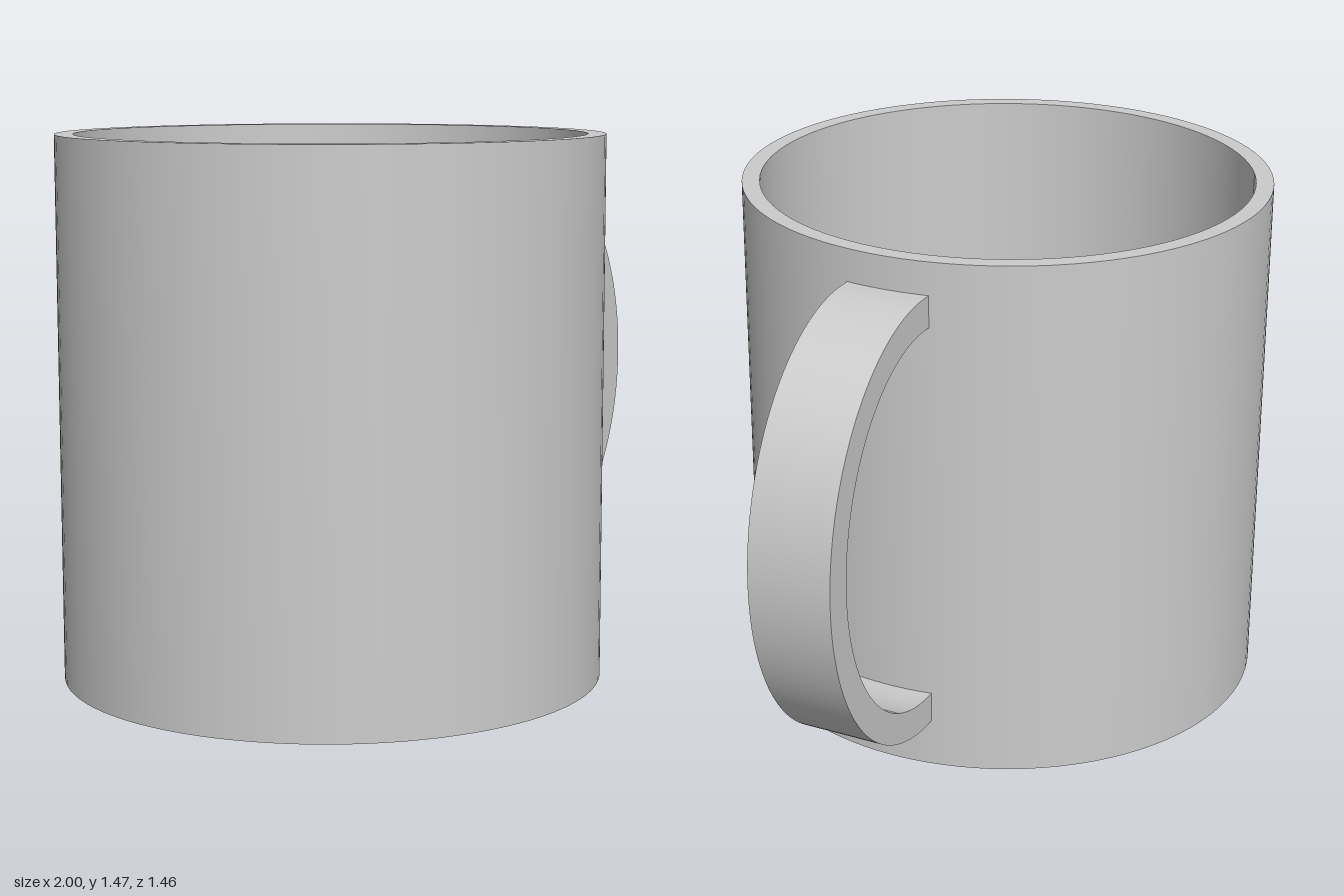
import * as THREE from 'three';
import { toCreasedNormals } from 'three/addons/utils/BufferGeometryUtils.js';

const material = new THREE.MeshStandardMaterial({ color: 0xcccccc });

function addPart(group, name, geometry) {
  const mesh = new THREE.Mesh(toCreasedNormals(geometry, 0.6), material);
  mesh.name = name;
  group.add(mesh);
  return mesh;
}

export function createModel() {
  const group = new THREE.Group();
  group.name = 'mug';

  // Cup: hollow cylinder with a closed floor, turned from one profile
  const radius = 0.732, inner = 0.683, height = 1.465, floor = 0.05;
  const profile = [
    [0, 0], [radius, 0], [radius, height], [inner, height], [inner, floor], [0, floor],
  ].map(([x, y]) => new THREE.Vector2(x, y));
  const cup = addPart(group, 'cup', new THREE.LatheGeometry(profile, 96));
  cup.position.x = radius - 1;

  // Handle: half-elliptical strap whose ends sink into the cup wall
  const cx = 0.48, cy = 0.755, root = 0.43, width = 0.232;
  const strap = new THREE.Shape();
  strap.moveTo(root, cy - 0.62);
  strap.lineTo(cx, cy - 0.62);
  strap.absellipse(cx, cy, 0.52, 0.62, -Math.PI / 2, Math.PI / 2, false);
  strap.lineTo(root, cy + 0.62);
  strap.lineTo(root, cy + 0.533);
  strap.lineTo(cx, cy + 0.533);
  strap.absellipse(cx, cy, 0.436, 0.533, Math.PI / 2, -Math.PI / 2, true);
  strap.lineTo(root, cy - 0.533);
  const handle = new THREE.ExtrudeGeometry(strap, {
    depth: width, bevelEnabled: false, curveSegments: 48,
  });
  handle.translate(0, 0, -width / 2);
  addPart(group, 'handle', handle);

  return group;
}
